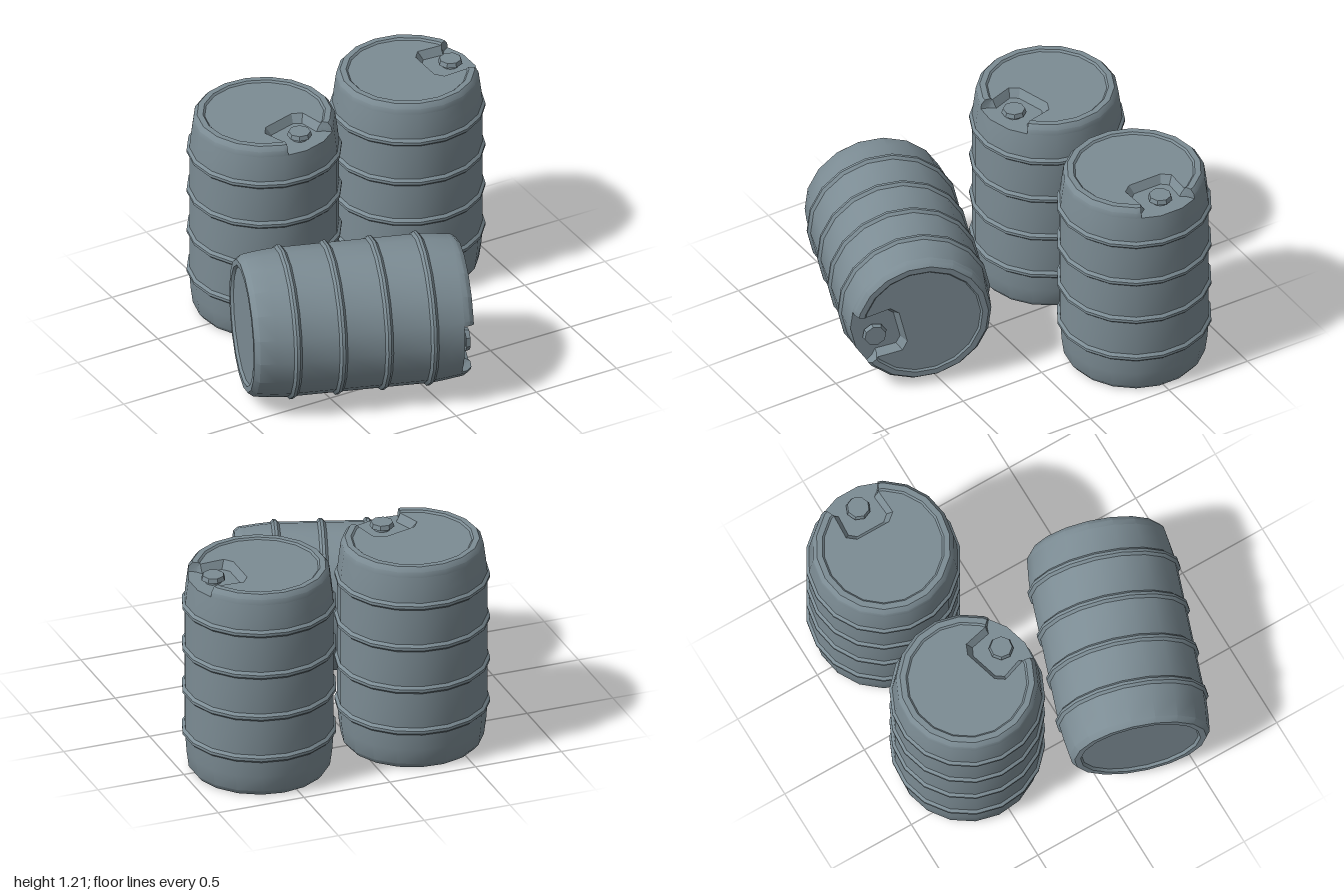
import * as THREE from 'three';
import { toCreasedNormals } from 'three/addons/utils/BufferGeometryUtils.js';

const rad = THREE.MathUtils.degToRad;
const V = (x, y, z) => new THREE.Vector3(x, y, z);
const CUT = 26;        // half angle of the filler recess
const FLOOR = 1.155;   // height of the recess floor
const DECK = 1.2;

// point on the 18-sided outline; in-between angles lie on the chord
function rim(r, deg, y) {
  const off = (((deg % 20) + 20) % 20) - 10;
  const mid = off < 0 ? 10 + off : 10 - off;
  const k = r * Math.cos(rad(10)) / Math.cos(rad(mid));
  return V(k * Math.cos(rad(deg)), y, k * Math.sin(rad(deg)));
}

// surface through rows of points
function grid(rows, crease = 0.6) {
  const n = rows[0].length, index = [];
  for (let i = 0; i < rows.length - 1; i++) {
    for (let j = 0; j < n - 1; j++) {
      const a = i * n + j, b = a + n;
      index.push(a, b, a + 1, b, b + 1, a + 1);
    }
  }
  const g = new THREE.BufferGeometry().setFromPoints(rows.flat());
  g.setIndex(index);
  return toCreasedNormals(g, crease);
}

const revolve = (profile, angles) => grid(profile.map(([r, y]) => angles.map(a => rim(r, a, y))));

// flat horizontal plate from a loop of points
function plate(points, y) {
  const g = new THREE.ShapeGeometry(new THREE.Shape(points.map(p => new THREE.Vector2(p.x, -p.z))));
  return g.rotateX(-Math.PI / 2).translate(0, y, 0);
}

const mirrorPath = half => [...half, ...half.slice().reverse().map(p => V(p.x, p.y, -p.z))];

function createBarrel(name, mat) {
  const barrel = new THREE.Group();
  barrel.name = name;
  const add = (part, geometry) => {
    const m = new THREE.Mesh(geometry, mat);
    m.name = part;
    barrel.add(m);
    return m;
  };

  const full = Array.from({ length: 19 }, (_, k) => 10 + 20 * k);
  const open = full.slice(0, 18);
  open[0] = CUT;
  open[17] = 360 - CUT;

  // body with recessed base and four hoops
  const profile = [[0, 0.015], [0.322, 0.015], [0.332, 0], [0.365, 0], [0.388, 0.03], [0.4, 0.12]];
  for (const y of [0.235, 0.485, 0.737, 0.988]) {
    profile.push([0.407, y - 0.022], [0.422, y - 0.008], [0.422, y + 0.008], [0.407, y + 0.022]);
  }
  profile.push([0.4, 1.08], [0.39, FLOOR]);
  add('body', revolve(profile, full));

  // shoulder and raised rim, open at the recess
  add('topRim', revolve([[0.39, FLOOR], [0.386, 1.185], [0.365, 1.21], [0.333, 1.21], [0.323, DECK]], open));

  // sloping recess walls
  const top = mirrorPath([rim(0.365, CUT, 1.21), rim(0.333, CUT, 1.21), V(0.286, DECK, 0.14),
    V(0.147, DECK, 0.147), V(0.109, DECK, 0.1)]);
  const low = mirrorPath([rim(0.39, CUT, FLOOR), rim(0.345, CUT - 1, FLOOR), V(0.286, FLOOR, 0.112),
    V(0.168, FLOOR, 0.12), V(0.136, FLOOR, 0.083)]);
  const middle = top.map((p, i) => p.clone().lerp(low[i], 0.45));
  middle[0] = rim(0.386, CUT, 1.185);
  middle[middle.length - 1] = rim(0.386, -CUT, 1.185);
  add('recessWall', grid([top, middle, low], 0.4));

  // lid and recess floor
  add('lid', plate([...open.map(a => rim(0.323, a, 0)), ...top.slice(2, -2).reverse()], DECK));
  add('recessFloor', plate([...low, rim(0.39, -10, 0), rim(0.39, 10, 0)], FLOOR));

  // filler cap on a short neck
  add('capNeck', toCreasedNormals(new THREE.CylinderGeometry(0.045, 0.045, 0.03, 12), 0.6))
    .position.set(0.267, FLOOR + 0.012, 0);
  add('cap', toCreasedNormals(new THREE.CylinderGeometry(0.06, 0.068, 0.025, 8), 0.6))
    .position.set(0.267, 1.187, 0);
  return barrel;
}

export function createModel() {
  const group = new THREE.Group();
  group.name = 'barrels';
  const mat = new THREE.MeshStandardMaterial({ color: 0x7c8c94 });
  mat.name = 'greyPlastic';

  const left = createBarrel('standingBarrelLeft', mat);
  left.position.set(0.578, 0, -0.54);

  const right = createBarrel('standingBarrelRight', mat);
  right.position.set(-0.315, 0, -0.54);
  right.rotation.y = rad(-74);

  // barrel lying on its side, its lid turned to the front left
  const lying = createBarrel('lyingBarrel', mat);
  const axis = V(Math.cos(rad(19)), 0, Math.sin(rad(19)));
  const notch = V(-axis.z, 0, axis.x).multiplyScalar(Math.cos(rad(13)));
  notch.y = -Math.sin(rad(13));
  const side = notch.clone().cross(axis);
  lying.quaternion.setFromRotationMatrix(new THREE.Matrix4().makeBasis(notch, axis, side));
  lying.position.copy(V(-0.313, 0.422, 0.41).addScaledVector(axis, -0.605));

  group.add(left, right, lying);
  return group;
}
